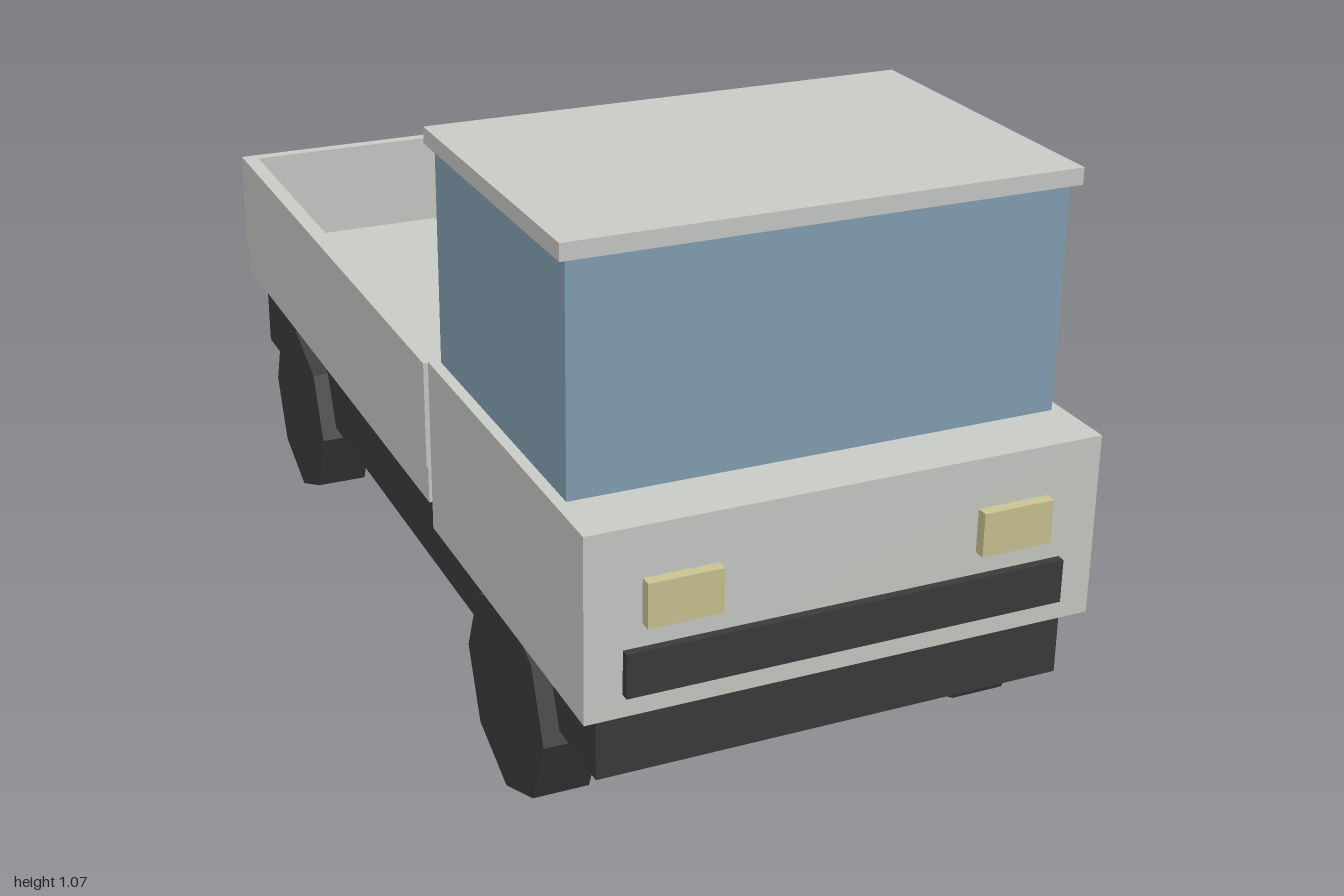
import * as THREE from 'three';

const mat = (name, color) => {
  const m = new THREE.MeshStandardMaterial({ color });
  m.name = name;
  return m;
};

export function createModel() {
  const paint = mat('pale grey paint', 0xc8cac6);
  const dark = mat('dark rubber', 0x3b3b3b);
  const glass = mat('blue glass', 0x82a0b2);
  const lamp = mat('pale yellow lamp', 0xc9c391);

  const truck = new THREE.Group();
  truck.name = 'truck';

  // Box given by its limits along each axis
  const box = (name, material, [x0, x1], [y0, y1], [z0, z1]) => {
    const mesh = new THREE.Mesh(new THREE.BoxGeometry(x1 - x0, y1 - y0, z1 - z0), material);
    mesh.position.set((x0 + x1) / 2, (y0 + y1) / 2, (z0 + z1) / 2);
    mesh.name = name;
    truck.add(mesh);
    return mesh;
  };

  // Chassis
  box('chassis', dark, [-0.418, 0.418], [0.2, 0.34], [-0.98, 0.95]);

  // Cab: lower body, glazed upper with a painted back, overhanging roof
  box('cabBody', paint, [-0.45, 0.45], [0.323, 0.645], [0.275, 0.98]);
  box('cabUpper', [glass, glass, paint, paint, glass, paint],
    [-0.43, 0.43], [0.645, 1.038], [0.287, 0.865]);
  box('roof', paint, [-0.444, 0.444], [1.038, 1.067], [0.272, 0.88]);

  // Front fittings
  box('bumper', dark, [-0.386, 0.386], [0.363, 0.44], [0.97, 0.995]);

  // Cargo bed: floor, tailgate and side walls, open towards the cab
  box('bedFloor', paint, [-0.45, 0.45], [0.365, 0.44], [-1, 0.257]);
  box('tailgate', paint, [-0.422, 0.422], [0.44, 0.635], [-1, -0.975]);

  for (const [side, s] of [['left', 1], ['right', -1]]) {
    const span = (a, b) => (s > 0 ? [a, b] : [-b, -a]);
    box(side + 'Headlight', lamp, span(0.227, 0.354), [0.48, 0.557], [0.97, 1]);
    box(side + 'BedWall', paint, span(0.422, 0.453), [0.435, 0.635], [-1, 0.257]);

    // Octagonal wheels
    for (const [end, z] of [['Front', 0.628], ['Rear', -0.628]]) {
      const geo = new THREE.CylinderGeometry(0.179, 0.179, 0.1, 8).rotateZ(Math.PI / 2).toNonIndexed();
      geo.computeVertexNormals();
      const wheel = new THREE.Mesh(geo, dark);
      wheel.position.set(s * 0.399, 0.179, z);
      wheel.name = side + end + 'Wheel';
      truck.add(wheel);
    }
  }
  return truck;
}
